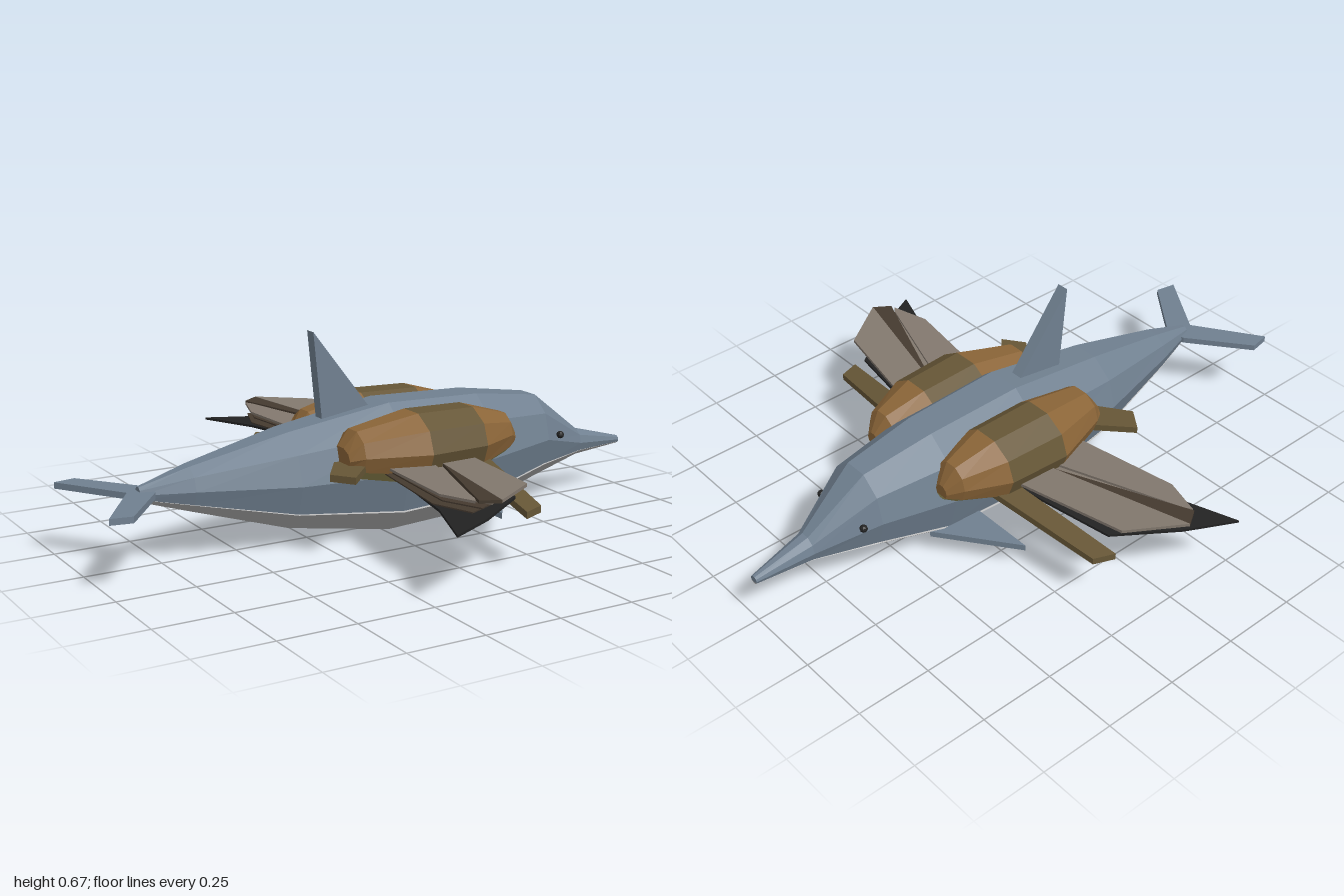
import * as THREE from 'three';

const mat = (name, color, extra = {}) => {
  const m = new THREE.MeshStandardMaterial({ color, flatShading: true, ...extra });
  m.name = name;
  return m;
};

// unit profile point at an angle in degrees: [across, up]
const unit = (deg, k = 1) => {
  const a = THREE.MathUtils.degToRad(deg);
  return [Math.cos(a) * k, Math.sin(a) * k];
};
const arc = (from, to, k = 1) => {
  const out = [];
  for (let d = from; d <= to; d += 36) out.push(unit(d, k));
  return out;
};

// skin a profile through rings [x, bottom, top, zCentre, zRadius], with end caps
function loft(profile, rings) {
  const pos = [], idx = [], n = profile.length;
  for (const [x, bottom, top, zc, rz] of rings) {
    const yc = (bottom + top) / 2, ry = (top - bottom) / 2 / 0.951;
    for (const [c, s] of profile) pos.push(x, yc + ry * s, zc + rz * c);
  }
  for (let i = 0; i < rings.length - 1; i++) {
    for (let j = 0; j < n; j++) {
      const a = i * n + j, b = i * n + (j + 1) % n;
      idx.push(a, a + n, b + n, a, b + n, b);
    }
  }
  const e = (rings.length - 1) * n;
  for (let j = 1; j < n - 1; j++) idx.push(0, j, j + 1, e, e + j + 1, e + j);
  const g = new THREE.BufferGeometry();
  g.setAttribute('position', new THREE.Float32BufferAttribute(pos, 3));
  g.setIndex(idx);
  const flat = g.toNonIndexed();
  flat.computeVertexNormals();
  return flat;
}

const outline = (pts) => new THREE.Shape(pts.map(([x, y]) => new THREE.Vector2(x, y)));

// horizontal plate from an [x, z] outline; it rises by slope away from the body
function plate(pts, side, top, thick, slope = 0, z0 = 0.3) {
  const g = new THREE.ExtrudeGeometry(outline(pts.map(([x, z]) => [x, z * side])),
    { depth: thick, bevelEnabled: false });
  g.rotateX(Math.PI / 2);
  const p = g.attributes.position;
  for (let i = 0; i < p.count; i++) {
    p.setY(i, p.getY(i) + top + slope * (Math.abs(p.getZ(i)) - z0));
  }
  g.computeVertexNormals();
  return g;
}

export function createModel() {
  const model = new THREE.Group();
  model.name = 'wingedDolphin';
  const skin = mat('slateSkin', 0x708090);
  const pale = mat('paleBelly', 0xb0b0b0);
  const brown = mat('warmBrown', 0x8b6538);
  const darkBrown = mat('darkBrown', 0x665636);
  const olive = mat('olive', 0x968b52);
  const taupe = mat('taupeFeather', 0x82786e);
  const umber = mat('umberFeather', 0x453a2f);
  const black = mat('black', 0x222222);

  const add = (name, geometry, material, parent = model) => {
    const m = new THREE.Mesh(geometry, material);
    m.name = name;
    parent.add(m);
    return m;
  };

  // body and slightly proud belly
  const rings = [
    [-0.82, 0.205, 0.25, 0, 0.02],
    [-0.66, 0.157, 0.295, 0, 0.07],
    [-0.34, 0.062, 0.365, 0, 0.145],
    [0.02, 0.006, 0.42, 0, 0.188],
    [0.36, 0.022, 0.41, 0, 0.172],
    [0.61, 0.095, 0.375, 0, 0.125],
    [0.81, 0.137, 0.225, 0, 0.045],
    [1.0, 0.15, 0.175, 0, 0.015],
  ];
  add('body', loft(arc(-36, 216), rings), skin);
  add('belly', loft([unit(216), ...arc(216, 324, 1.03), unit(324)], rings), pale);

  // dorsal fin
  const fin = new THREE.ExtrudeGeometry(
    outline([[-0.23, 0.665], [-0.2, 0.36], [-0.01, 0.38]]),
    { depth: 0.04, bevelEnabled: false });
  fin.translate(0, 0, -0.02);
  add('dorsalFin', fin, skin);

  for (const side of [1, -1]) {
    const half = new THREE.Group();
    half.name = side > 0 ? 'nearSide' : 'farSide';
    model.add(half);
    const part = (name, geo, m) => add(name, geo, m, half);

    part('tailFluke', plate([[-0.77, 0], [-0.78, 0.04], [-0.93, 0.235], [-1, 0.222], [-0.855, 0]],
      side, 0.237, 0.02), skin);
    part('flipper', plate([[0.43, 0.12], [0.25, 0.365], [0.25, 0.12]], side, 0.098, 0.02), skin);

    // eye
    const eye = part('eye', new THREE.SphereGeometry(0.013, 8, 6), black);
    eye.position.set(0.67, 0.242, side * 0.107);

    // bird body: two brown ends, a dark saddle and an olive underside
    const bird = [
      [-0.21, 0.255, 0.325, 0.15, 0.06],
      [-0.17, 0.225, 0.375, 0.155, 0.085],
      [0.03, 0.19, 0.415, 0.175, 0.135],
      [0.24, 0.195, 0.41, 0.17, 0.128],
      [0.38, 0.24, 0.37, 0.17, 0.065],
      [0.42, 0.262, 0.31, 0.17, 0.025],
    ].map(([x, b, t, z, r]) => [x, b, t, z * side, r]);
    const upper = arc(-36, 216), lower = arc(216, 324);
    part('birdRear', loft(upper, bird.slice(0, 3)), brown);
    part('birdSaddle', loft(upper, bird.slice(2, 4)), darkBrown);
    part('birdFront', loft(upper, bird.slice(3)), brown);
    part('birdUnderside', loft(lower, bird), olive);

    // short tail and the long leading bar of the wing
    part('birdTail', plate([[-0.26, 0.33], [-0.31, 0.26], [-0.2, 0.1], [-0.13, 0.19]],
      side, 0.277, 0.022), darkBrown);
    part('wingBar', plate([[0.14, 0.645], [0.21, 0.62], [0.28, 0.22], [0.2, 0.2]],
      side, 0.242, 0.022, -0.15), darkBrown);

    // dark lowest feather
    part('lowerFeather', plate(
      [[-0.218, 0.81], [-0.06, 0.73], [0.13, 0.6], [0.2, 0.22], [-0.07, 0.22], [-0.14, 0.6]],
      side, 0.238, 0.008, -0.03), black);

    // stacked trailing feathers, each a little longer than the one below
    for (let i = 0; i < 3; i++) {
      const r = i * 0.02;
      part('middleFeather', plate(
        [[-0.15 + r, 0.58 + r], [-0.1 + r, 0.71 + r], [0.1, 0.62], [0.19, 0.22], [-0.1 + r, 0.22]],
        side, 0.246 + i * 0.005, 0.004, -0.005 + i * 0.022), i === 2 ? taupe : umber);
    }

    // top feathers with the dark quill stripe between them
    part('topFeather', plate([[-0.04, 0.77], [0.13, 0.655], [0.21, 0.22], [0.09, 0.22]],
      side, 0.268, 0.01, 0.04), taupe);
    part('quillStripe', plate([[-0.095, 0.735], [-0.04, 0.77], [0.09, 0.3], [0.07, 0.3]],
      side, 0.267, 0.01, 0.04), umber);
    part('rearFeather', plate([[-0.14, 0.6], [-0.1, 0.725], [-0.085, 0.7], [0.07, 0.22], [-0.09, 0.22]],
      side, 0.266, 0.008, 0.035), taupe);
  }
  return model;
}
